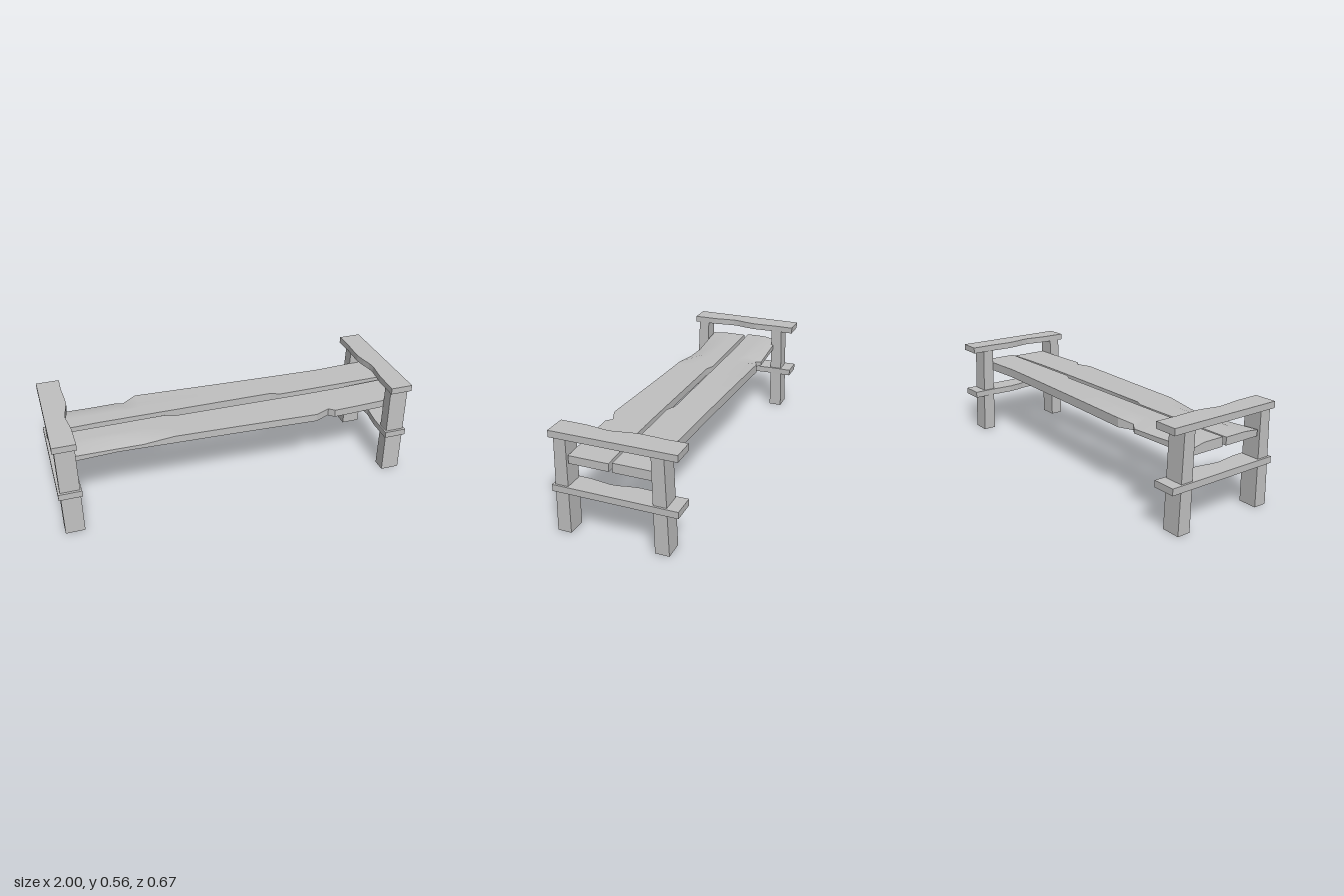
import * as THREE from 'three';
import { toCreasedNormals } from 'three/addons/utils/BufferGeometryUtils.js';

const wood = new THREE.MeshStandardMaterial({ color: 0xc0c0c0 });
wood.name = 'plain grey wood';

function add(parent, geometry, name) {
  const mesh = new THREE.Mesh(geometry, wood);
  mesh.name = name;
  parent.add(mesh);
}

// Sawn board lofted along x; each station is [x, zBack, zFront, yBackEdge, yFrontEdge]
function plankGeometry(stations, bottom, top) {
  const rings = stations.map(([x, zb, zf, yb = top, yf = top]) => {
    const z = t => zb + (zf - zb) * t;
    return [[x, bottom, zb], [x, yb, zb], [x, top, z(0.4)], [x, top, z(0.6)], [x, yf, zf], [x, bottom, zf]];
  });
  const pos = [];
  const tri = (a, b, c) => pos.push(...a, ...b, ...c);
  for (let i = 0; i < rings.length - 1; i++) {
    const a = rings[i], b = rings[i + 1];
    for (let k = 0; k < 6; k++) {
      const n = (k + 1) % 6;
      tri(a[k], a[n], b[n]);
      tri(a[k], b[n], b[k]);
    }
  }
  const first = rings[0], last = rings[rings.length - 1];
  for (let k = 1; k < 5; k++) {
    tri(first[0], first[k + 1], first[k]);
    tri(last[0], last[k], last[k + 1]);
  }
  const g = new THREE.BufferGeometry();
  g.setAttribute('position', new THREE.Float32BufferAttribute(pos, 3));
  return toCreasedNormals(g, 0.4);
}

// Leaning, slightly tapered post
function legGeometry(side, bottomZ, topZ) {
  const g = new THREE.BoxGeometry(0.105, 0.53, 1);
  g.translate(side * 0.9365, 0.265, 0);
  const p = g.attributes.position;
  for (let i = 0; i < p.count; i++) {
    const range = p.getY(i) > 0.2 ? topZ : bottomZ;
    p.setZ(i, range[p.getZ(i) > 0 ? 1 : 0]);
  }
  g.computeVertexNormals();
  return g;
}

// Cross rail with a worn inner edge
function railGeometry(side, y, height) {
  const outline = [[1, -0.333], [1, 0.333], [0.875, 0.333], [0.877, 0.19], [0.885, 0.13], [0.893, 0.07],
    [0.889, 0.03], [0.877, -0.02], [0.868, -0.08], [0.871, -0.16], [0.875, -0.22], [0.873, -0.333]];
  const shape = new THREE.Shape(outline.map(([x, z]) => new THREE.Vector2(side * x, -z)));
  const g = new THREE.ExtrudeGeometry(shape, { depth: height, bevelEnabled: false });
  g.rotateX(-Math.PI / 2);
  g.translate(0, y, 0);
  return g;
}

export function createModel() {
  const bench = new THREE.Group();
  bench.name = 'bench';

  // Two mirrored end frames
  for (const side of [-1, 1]) {
    const frame = new THREE.Group();
    frame.name = side > 0 ? 'leftEndFrame' : 'rightEndFrame';
    add(frame, legGeometry(side, [0.252, 0.327], [0.247, 0.311]), 'frontLeg');
    add(frame, legGeometry(side, [-0.28, -0.205], [-0.26, -0.195]), 'backLeg');
    add(frame, railGeometry(side, 0.523, 0.036), 'armRail');
    add(frame, railGeometry(side, 0.23, 0.036), 'lowerRail');
    bench.add(frame);
  }

  // Front seat board, worn down along its front right edge
  add(bench, plankGeometry([
    [-0.98, 0.022, 0.24, 0.433, 0.424], [-0.88, 0.02, 0.235, 0.433, 0.42], [-0.66, 0.018, 0.222, 0.433, 0.41],
    [-0.52, 0.016, 0.227, 0.433, 0.412], [-0.35, 0.015, 0.234], [-0.3, 0.035, 0.236], [0, 0.038, 0.247],
    [0.46, 0.042, 0.268], [0.545, 0.042, 0.233], [0.575, 0.041, 0.26], [0.7, 0.04, 0.256], [0.98, 0.027, 0.243],
  ], 0.39, 0.433), 'frontSeatBoard');

  // Back seat board, worn down at its back right corner
  add(bench, plankGeometry([
    [-0.98, -0.002, -0.002], [-0.72, -0.012, -0.012], [-0.585, -0.012, -0.012], [-0.545, -0.012, -0.012],
    [-0.465, -0.012, -0.012], [0, -0.012, -0.012], [0.29, -0.012, -0.012], [0.34, 0.012, 0.012],
    [0.66, 0.01, 0.01], [0.98, 0.008, 0.008],
  ].map(([x, , zFront], i) => {
    const back = [-0.205, -0.216, -0.222, -0.195, -0.23, -0.21, -0.199, -0.197, -0.187, -0.204][i];
    const worn = [0.425, 0.416, 0.414, 0.422][i];
    return [x, back, zFront, worn];
  }), 0.39, 0.441), 'backSeatBoard');

  return bench;
}
